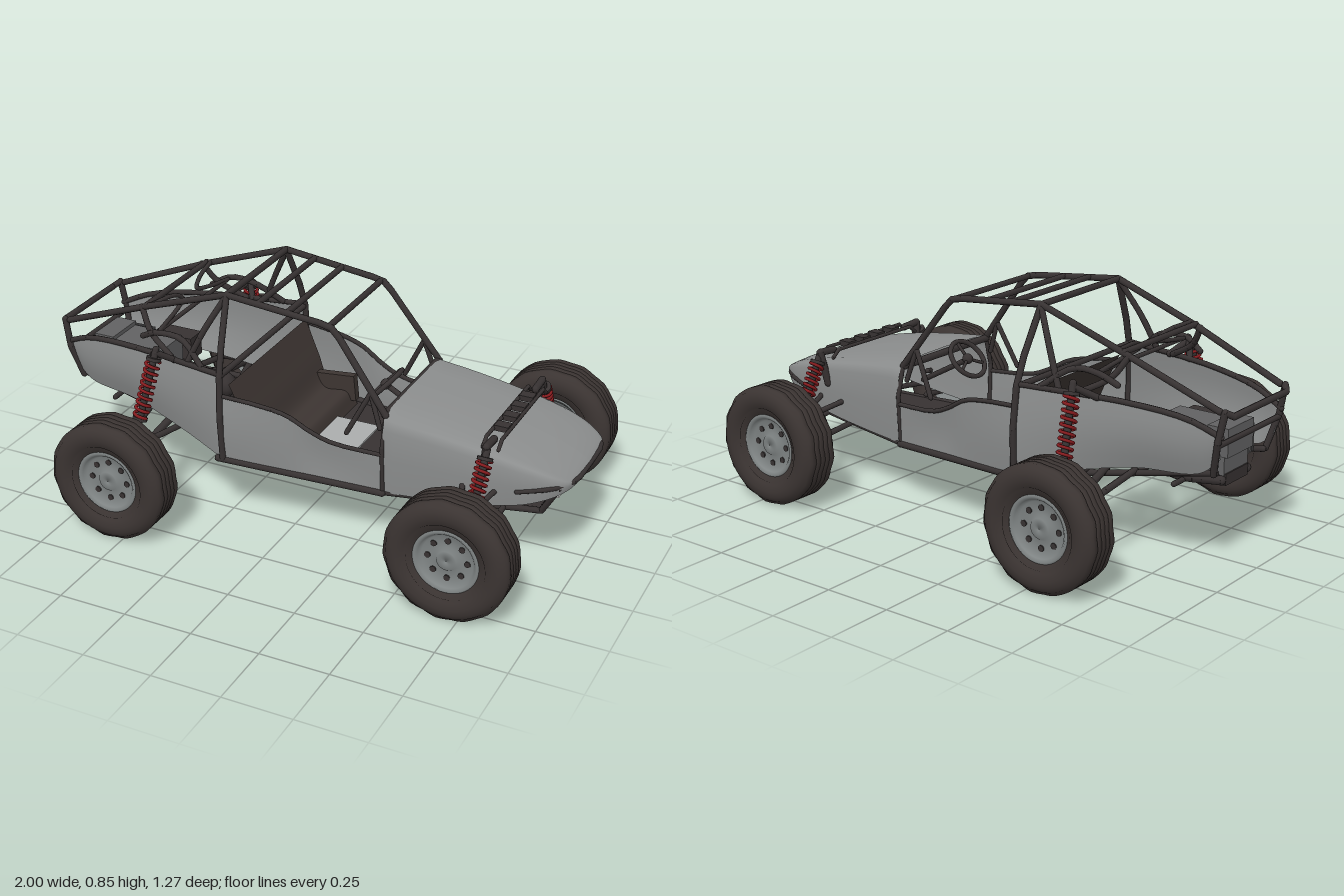
import * as THREE from 'three';
import { mergeGeometries } from 'three/addons/utils/BufferGeometryUtils.js';

const material = (name, color) => {
  const m = new THREE.MeshStandardMaterial({ color, side: THREE.DoubleSide });
  m.name = name;
  return m;
};
const V = (p) => new THREE.Vector3(...p);
const flip = (p, s) => [p[0], p[1], p[2] * s];

export function createModel() {
  const panel = material('grey panel', 0x8c8e8e);
  const frame = material('dark frame', 0x373232);
  const rubber = material('tyre rubber', 0x3b3432);
  const alloy = material('wheel alloy', 0x7f8484);
  const red = material('red spring', 0x861b1e);
  const seatMat = material('seat cloth', 0x3d3532);
  const metal = material('engine metal', 0x626263);
  const lamp = material('pale lamp', 0xd2d2d0);
  const plate = material('bright plate', 0xabaeae);
  const root = new THREE.Group();

  const add = (name, geo, mat, parent = root) => {
    const m = new THREE.Mesh(geo, mat);
    m.name = name;
    parent.add(m);
    return m;
  };
  const box = (name, size, pos, mat, rotZ = 0) => {
    const m = add(name, new THREE.BoxGeometry(...size), mat);
    m.position.set(...pos);
    m.rotation.z = rotZ;
    return m;
  };
  // straight rods with ball joints along a path
  const rods = (pts, r) => {
    const parts = [];
    pts.forEach((p, i) => {
      parts.push(new THREE.SphereGeometry(r, 8, 6).translate(...p));
      if (!i) return;
      const a = V(pts[i - 1]), d = V(p).sub(a), len = d.length();
      const g = new THREE.CylinderGeometry(r, r, len, 8).translate(0, len / 2, 0);
      g.applyQuaternion(new THREE.Quaternion().setFromUnitVectors(new THREE.Vector3(0, 1, 0), d.normalize()));
      parts.push(g.translate(a.x, a.y, a.z));
    });
    return mergeGeometries(parts);
  };
  const pipe = (name, pts, r = 0.011, mat = frame) => add(name, rods(pts, r), mat);
  const pipes = (name, pts, r = 0.011, mat = frame) =>
    [1, -1].forEach((s) => pipe(name, pts.map((p) => flip(p, s)), r, mat));
  const bend = (pts, n = 10) => new THREE.CatmullRomCurve3(pts.map(V)).getPoints(n).map((p) => p.toArray());
  const across = (pts) => [...pts, ...pts.map((p) => flip(p, -1)).reverse()];
  // smooth skin through matching cross-sections
  const loft = (rows, n = 24) => {
    const cols = rows[0].map((_, j) => new THREE.CatmullRomCurve3(rows.map((r) => V(r[j]))).getPoints(n));
    const pos = [], idx = [], w = cols.length;
    for (let i = 0; i <= n; i++) for (let j = 0; j < w; j++) pos.push(...cols[j][i].toArray());
    for (let i = 0; i < n; i++) for (let j = 0; j < w - 1; j++) {
      const a = i * w + j;
      idx.push(a, a + w, a + 1, a + 1, a + w, a + w + 1);
    }
    const g = new THREE.BufferGeometry();
    g.setAttribute('position', new THREE.Float32BufferAttribute(pos, 3));
    g.setIndex(idx);
    g.computeVertexNormals();
    return g;
  };

  // side skins: station = [x, bottom y, bottom z, top y, top z, bulge]
  const side = (name, stations) => [1, -1].forEach((s) => add(name, loft(stations.map(([x, b, zb, t, zt, k]) =>
    [0, 0.2, 0.4, 0.6, 0.8, 1].map((u) =>
      [x, b + (t - b) * u, s * (zb + (zt - zb) * u + k * Math.sin(Math.PI * u))]))), panel));
  side('rearSidePanel', [[-0.95, 0.42, 0.17, 0.5, 0.19, 0.004], [-0.88, 0.36, 0.185, 0.54, 0.21, 0.012],
    [-0.66, 0.345, 0.23, 0.57, 0.255, 0.016], [-0.42, 0.295, 0.285, 0.577, 0.295, 0.014], [-0.25, 0.25, 0.33, 0.575, 0.325, 0.012]]);
  side('doorPanel', [[-0.24, 0.252, 0.335, 0.5, 0.335, 0.01], [-0.1, 0.245, 0.317, 0.487, 0.32, 0.006], [0, 0.24, 0.303, 0.465, 0.307, 0.002],
    [0.08, 0.235, 0.292, 0.42, 0.296, -0.004], [0.16, 0.23, 0.282, 0.388, 0.285, -0.004], [0.34, 0.22, 0.258, 0.373, 0.264, 0]]);

  // nose and hood: station = [x, bottom y, top y, half width]
  const half = (x, b, t, w) => [[x, b, w * 0.97], [x, b + (t - b) * 0.45, w * 1.01], [x, b + (t - b) * 0.82, w],
    [x, t - (t - b) * 0.06, w * 0.95], [x, t, w * 0.86], [x, t + 0.006, w * 0.45]];
  add('hood', loft([[0.34, 0.22, 0.52, 0.262], [0.5, 0.235, 0.502, 0.258], [0.7, 0.26, 0.47, 0.25], [0.84, 0.29, 0.437, 0.237],
    [0.93, 0.325, 0.405, 0.212], [0.975, 0.35, 0.382, 0.178], [0.992, 0.36, 0.37, 0.13]].map((s) =>
    across([...half(...s), [s[0], s[2] + 0.008, 0]]))), panel);
  pipe('noseLip', bend(across([[0.82, 0.34, 0.24], [0.93, 0.365, 0.212], [0.985, 0.37, 0.14], [0.992, 0.37, 0.04]]), 18), 0.009);
  add('grille', loft([[[0.93, 0.36, 0.19], [0.93, 0.36, -0.19]], [[0.87, 0.24, 0.15], [0.87, 0.24, -0.15]]], 4), frame);
  pipes('noseFrame', [[0.95, 0.36, 0.19], [0.88, 0.235, 0.15], [0.6, 0.225, 0.2], [0.34, 0.22, 0.25]]);
  pipe('noseCrossbar', [[0.88, 0.235, 0.15], [0.88, 0.235, -0.15]]);
  for (const s of [1, -1]) box('headlamp', [0.04, 0.045, 0.095], [0.915, 0.32, s * 0.11], lamp, 0.3);

  // floor
  add('floorPan', loft([[[-0.26, 0.25, 0.335], [-0.26, 0.25, -0.335]], [[0.34, 0.22, 0.26], [0.34, 0.22, -0.26]]], 2), frame);
  add('frontFloor', loft([[[0.34, 0.22, 0.25], [0.34, 0.22, -0.25]], [[0.6, 0.23, 0.2], [0.6, 0.23, -0.2]],
    [[0.88, 0.238, 0.15], [0.88, 0.238, -0.15]]], 6), frame);
  box('centrePlate', [0.19, 0.008, 0.23], [0.065, 0.255, 0], plate);
  for (let i = -4; i <= 4; i++) {
    pipe('floorRail', [[-0.26, 0.242, i * 0.072], [0.34, 0.212, i * 0.057]], 0.007);
    box('floorLouvre', [0.01, 0.01, 0.2], [0.065 + i * 0.021, 0.223, 0], alloy);
  }
  pipes('lowerSill', [[-0.26, 0.25, 0.335], [0.34, 0.22, 0.258]], 0.013);
  pipes('upperSill', bend([[-0.24, 0.5, 0.335], [-0.1, 0.487, 0.32], [0, 0.465, 0.307], [0.08, 0.42, 0.296],
    [0.16, 0.388, 0.285], [0.34, 0.373, 0.264]], 14), 0.008);
  pipes('scuttlePost', [[0.34, 0.22, 0.255], [0.34, 0.4, 0.265], [0.34, 0.515, 0.235]], 0.008);
  pipe('dashBar', across([[0.335, 0.51, 0.23]]), 0.014);

  // roll cage
  pipe('mainHoop', across([[-0.24, 0.25, 0.335], [-0.243, 0.42, 0.345], [-0.248, 0.57, 0.332], [-0.255, 0.67, 0.3], [-0.27, 0.833, 0.225]]), 0.012);
  pipes('roofRail', [[-0.27, 0.833, 0.225], [0.08, 0.795, 0.215], [0.125, 0.785, 0.215], [0.155, 0.755, 0.216], [0.34, 0.51, 0.235]], 0.012);
  for (const [x, y] of [[-0.15, 0.823], [-0.04, 0.81], [0.115, 0.788]])
    pipe('roofCrossbar', across([[x, y, 0.216]]));
  pipes('rearStay', [[-0.27, 0.833, 0.225], [-0.6, 0.72, 0.215], [-0.95, 0.585, 0.19]], 0.012);
  pipe('rearCrossbar', across([[-0.6, 0.725, 0.215]]));
  pipe('headrestBar', across(bend([[-0.58, 0.73, 0.21], [-0.56, 0.72, 0.09], [-0.55, 0.695, 0.05], [-0.54, 0.68, 0.1], [-0.53, 0.655, 0.25]], 12)), 0.008);
  pipe('tailHoop', across([[-0.92, 0.36, 0.165], [-0.95, 0.48, 0.195], [-0.97, 0.585, 0.19], [-0.988, 0.57, 0.165]]), 0.012);
  pipe('tailBar', across([[-0.95, 0.47, 0.19]]), 0.01);
  pipes('bodyRail', bend([[-0.96, 0.5, 0.19], [-0.85, 0.545, 0.215], [-0.65, 0.572, 0.257], [-0.25, 0.577, 0.327]]), 0.01);
  pipes('sideBrace', bend([[-0.275, 0.82, 0.23], [-0.34, 0.7, 0.27], [-0.395, 0.58, 0.295]]));
  pipes('shockArch', bend([[-0.62, 0.715, 0.215], [-0.57, 0.64, 0.245], [-0.47, 0.58, 0.28]]));
  pipes('shockHoop', bend([[-0.6, 0.62, 0.25], [-0.53, 0.655, 0.27], [-0.43, 0.65, 0.27], [-0.33, 0.58, 0.31]]));
  pipes('windscreenBrace', [[0.2, 0.42, 0.25], [0.28, 0.58, 0.23], [0.32, 0.46, 0.24]], 0.009);
  pipe('seatBar', across([[-0.25, 0.57, 0.32]]));
  pipes('engineCradle', [[-0.26, 0.25, 0.27], [-0.62, 0.3, 0.17], [-0.92, 0.36, 0.15]]);
  for (const x of [-0.4, -0.62, -0.78]) pipe('cradleCrossbar', across([[x, 0.3, 0.18]]), 0.01);

  // cockpit
  add('seatBack', loft([[[-0.23, 0.53, 0.3], [-0.23, 0.53, -0.3]], [[-0.17, 0.4, 0.29], [-0.17, 0.4, -0.29]],
    [[-0.12, 0.3, 0.28], [-0.12, 0.3, -0.28]], [[-0.03, 0.3, 0.27], [-0.03, 0.3, -0.27]], [[0, 0.24, 0.27], [0, 0.24, -0.27]]], 20), seatMat);
  for (const s of [1, -1]) box('seatBolster', [0.17, 0.1, 0.03], [-0.08, 0.31, s * 0.25], seatMat, 0.1);
  const wheel = new THREE.Group();
  wheel.name = 'steeringWheel';
  add('steeringRim', new THREE.TorusGeometry(0.075, 0.009, 8, 28), frame, wheel);
  add('steeringHub', new THREE.SphereGeometry(0.02, 10, 8), frame, wheel);
  for (let i = 0; i < 3; i++) {
    const a = i * Math.PI * 2 / 3 + Math.PI / 2;
    add('steeringSpoke', rods([[0, 0, 0], [0.074 * Math.cos(a), 0.074 * Math.sin(a), 0]], 0.006), frame, wheel);
  }
  wheel.position.set(0.235, 0.5, 0);
  wheel.rotation.set(0, -Math.PI / 2, 0);
  wheel.rotateX(-0.75);
  root.add(wheel);
  pipe('steeringColumn', [[0.24, 0.495, 0], [0.45, 0.38, 0]], 0.01);

  // engine and gearbox
  box('engineBlock', [0.27, 0.15, 0.15], [-0.77, 0.4, 0], metal);
  for (const s of [1, -1]) {
    box('cylinderHead', [0.16, 0.09, 0.08], [-0.7, 0.4, s * 0.15], frame);
    for (let i = 0; i < 4; i++) box('cylinderFin', [0.1, 0.1, 0.007], [-0.84, 0.4, s * (0.09 + i * 0.015)], metal);
    pipe('exhaust', bend([[-0.65, 0.34, s * 0.13], [-0.75, 0.31, s * 0.12], [-0.9, 0.31, s * 0.08]]), 0.016);
  }
  box('fanShroud', [0.08, 0.1, 0.16], [-0.88, 0.44, 0], metal);
  box('sump', [0.24, 0.04, 0.14], [-0.79, 0.31, 0], frame);
  pipe('gearbox', [[-0.62, 0.35, 0], [-0.42, 0.35, 0]], 0.05);

  // light rail across the hood
  for (const x of [0.69, 0.745]) pipe('lightRail', across([[x, 0.475, 0.23], [x, 0.5, 0.2]]), 0.007);
  for (const z of [-0.12, -0.04, 0.04, 0.12]) box('railLamp', [0.05, 0.02, 0.04], [0.718, 0.503, z], frame);
  pipes('frontTower', [[0.717, 0.495, 0.2], [0.717, 0.5, 0.27], [0.7, 0.38, 0.25]], 0.014);

  // suspension
  const shock = (name, a, b) => [1, -1].forEach((s) => {
    const p = V(flip(a, s)), q = V(flip(b, s)), d = p.clone().sub(q), len = d.length();
    const g = new THREE.Group();
    g.name = name;
    const coil = Array.from({ length: 145 }, (_, i) => new THREE.Vector3(0.024 * Math.cos(i * Math.PI / 8),
      len * (0.14 + 0.72 * i / 144), 0.024 * Math.sin(i * Math.PI / 8)));
    add('spring', new THREE.TubeGeometry(new THREE.CatmullRomCurve3(coil), 180, 0.006, 6), red, g);
    add('damper', rods([[0, 0, 0], [0, len, 0]], 0.013), frame, g);
    for (const t of [0.12, 0.88]) add('springSeat', new THREE.CylinderGeometry(0.027, 0.027, 0.012, 14).translate(0, len * t, 0), frame, g);
    g.position.copy(q);
    g.quaternion.setFromUnitVectors(new THREE.Vector3(0, 1, 0), d.normalize());
    root.add(g);
  });
  shock('rearShock', [-0.49, 0.63, 0.345], [-0.52, 0.36, 0.44]);
  shock('frontShock', [0.72, 0.49, 0.27], [0.715, 0.27, 0.39]);
  pipes('shockMount', [[-0.45, 0.575, 0.29], [-0.49, 0.62, 0.35], [-0.54, 0.575, 0.28]], 0.012);
  pipes('frontLowerArm', [[0.61, 0.24, 0.2], [0.62, 0.215, 0.43], [0.755, 0.215, 0.43], [0.76, 0.24, 0.2]], 0.011);
  pipes('frontUpperArm', [[0.62, 0.33, 0.22], [0.69, 0.28, 0.42], [0.75, 0.33, 0.22]], 0.01);
  pipes('frontUpright', [[0.7, 0.2, 0.43], [0.7, 0.3, 0.43]], 0.02);
  pipes('frontAxle', [[0.7, 0.22, 0.42], [0.7, 0.22, 0.5]], 0.025);
  pipes('rearForwardArm', [[-0.45, 0.29, 0.2], [-0.49, 0.3, 0.38], [-0.54, 0.24, 0.47]], 0.012);
  pipes('rearArm', [[-0.62, 0.31, 0.17], [-0.61, 0.28, 0.33], [-0.57, 0.22, 0.47]], 0.012);
  pipes('rearShockLink', [[-0.52, 0.36, 0.44], [-0.55, 0.23, 0.46]], 0.016);
  pipes('halfShaft', [[-0.5, 0.34, 0.04], [-0.55, 0.22, 0.5]], 0.014);
  pipes('shaftBoot', [[-0.5, 0.34, 0.05], [-0.51, 0.325, 0.1]], 0.03);
  pipes('rearHub', [[-0.55, 0.22, 0.45], [-0.55, 0.22, 0.53]], 0.04);

  // wheels, with wavy tread grooves
  const h = 0.077;
  const tread = [-0.045, -0.022, 0, 0.022, 0.045].flatMap((y) =>
    [[0.211, y - 0.013], [0.22, y - 0.009], [0.22, y + 0.009], [0.211, y + 0.013]]);
  const shoulder = [[0.112, 0.05], [0.135, 0.066], [0.139, 0.062], [0.144, 0.07], [0.17, h], [0.19, h - 0.003], [0.206, 0.067]];
  const tyreProfile = [...shoulder.map(([r, y]) => [r, -y]), ...tread, ...[...shoulder].reverse()];
  const rimProfile = [[0.112, -0.06], [0.1, -0.05], [0.095, 0.015], [0, 0.015], [0, 0.048], [0.035, 0.046], [0.045, 0.032],
    [0.09, 0.036], [0.1, 0.05], [0.11, 0.058], [0.118, 0.052]];
  const lathe = (pts) => new THREE.LatheGeometry(pts.map((p) => new THREE.Vector2(...p)), 56).rotateX(Math.PI / 2);
  const tyreGeo = lathe(tyreProfile), p = tyreGeo.attributes.position;
  for (let i = 0; i < p.count; i++) if (Math.hypot(p.getX(i), p.getY(i)) > 0.208)
    p.setZ(i, p.getZ(i) + 0.004 * Math.sin(14 * Math.atan2(p.getY(i), p.getX(i))));
  for (const [name, x, z] of [['rearWheel', -0.55, 0.557], ['frontWheel', 0.703, 0.512]]) for (const s of [1, -1]) {
    const g = new THREE.Group();
    g.name = name;
    add('tyre', tyreGeo, rubber, g);
    add('rim', lathe(rimProfile), alloy, g);
    for (let i = 0; i < 8; i++) {
      const a = i * Math.PI / 4;
      add('rimHole', new THREE.CylinderGeometry(0.011, 0.011, 0.008, 10).rotateX(Math.PI / 2)
        .translate(0.07 * Math.cos(a), 0.07 * Math.sin(a), 0.034), frame, g);
    }
    g.position.set(x, 0.22, z * s);
    if (s < 0) g.rotation.y = Math.PI;
    root.add(g);
  }
  return root;
}
